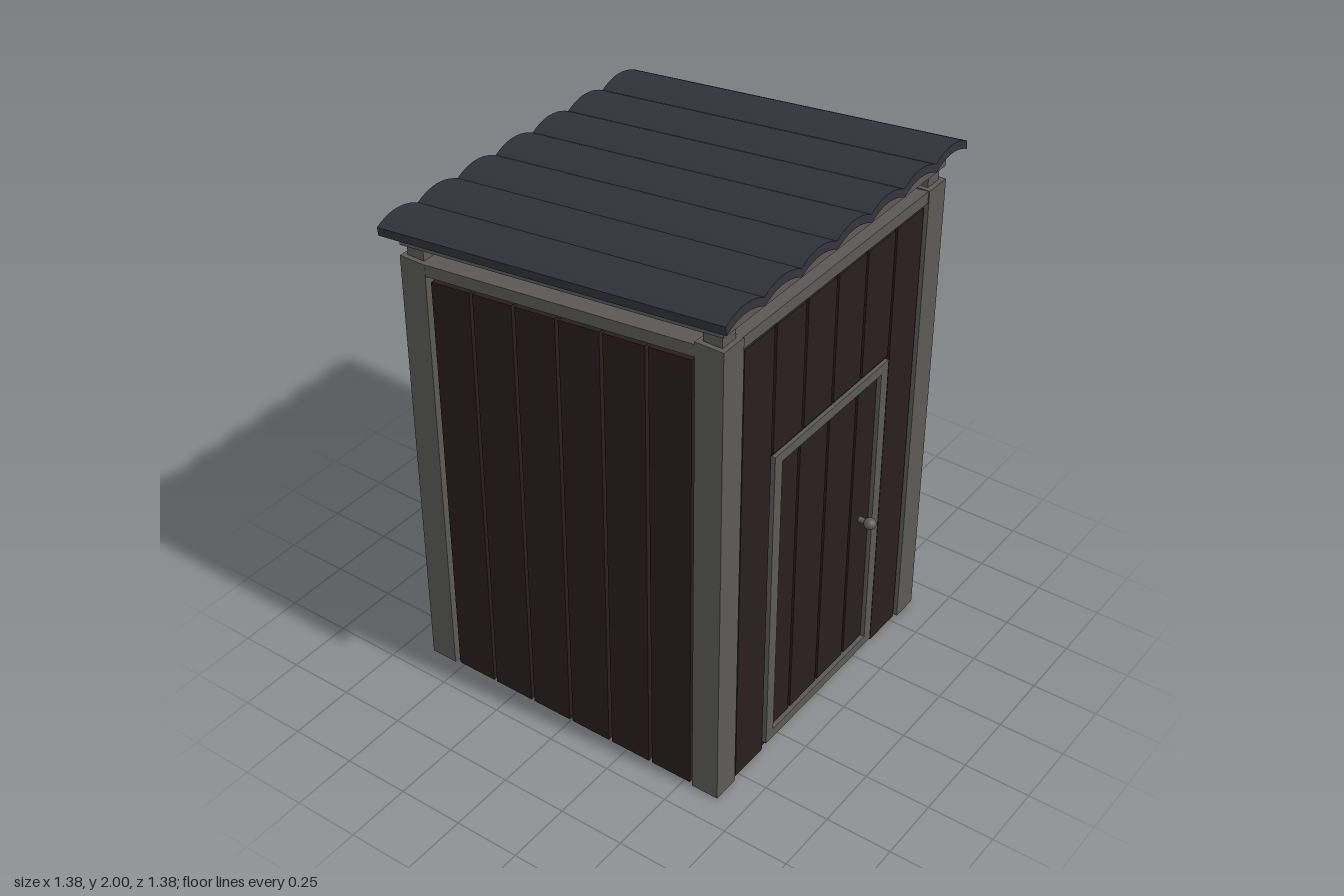
import * as THREE from 'three';

const SLOPE = 0.106; // roof pitch: rise in y per unit of z
const WALL = 0.59;   // distance of the wall centre lines from the axis

const timber = new THREE.MeshStandardMaterial({ color: 0x5b5a57, side: THREE.DoubleSide });
timber.name = 'grey timber';
const plankMat = new THREE.MeshStandardMaterial({ color: 0x291e1e });
plankMat.name = 'dark brown planks';
const roofMat = new THREE.MeshStandardMaterial({ color: 0x323339 });
roofMat.name = 'slate roof';

function add(parent, name, geometry, material) {
  const mesh = new THREE.Mesh(geometry, material);
  mesh.name = name;
  parent.add(mesh);
  return mesh;
}

// Box between two heights
function post(parent, name, mat, w, d, x, z, y0, y1) {
  const g = new THREE.BoxGeometry(w, y1 - y0, d);
  g.translate(x, (y0 + y1) / 2, z);
  return add(parent, name, g, mat);
}

// Box whose vertices above y = minY follow the roof pitch
function pitched(parent, name, mat, w, h, d, x, y, z, minY = 0) {
  const g = new THREE.BoxGeometry(w, h, d);
  g.translate(x, y, z);
  const p = g.attributes.position;
  for (let i = 0; i < p.count; i++) {
    if (p.getY(i) > minY) p.setY(i, p.getY(i) + SLOPE * p.getZ(i));
  }
  g.computeVertexNormals();
  return add(parent, name, g, mat);
}

// Four pitched beams forming a ring at the wall lines
function ring(parent, name, y, h, width, length) {
  for (const s of [-1, 1]) {
    pitched(parent, name, timber, length, h, width, 0, y, s * WALL);
    pitched(parent, name, timber, width, h, length, s * WALL, y, 0);
  }
}

// One corrugation: a shallow arched strip running front to back
function corrugation(width, length) {
  const rise = 0.025, thick = 0.03, n = 10;
  const shape = new THREE.Shape();
  const arch = (t) => rise * (1 - (2 * t - 1) ** 2);
  shape.moveTo(-width / 2, 0);
  for (let i = 1; i <= n; i++) shape.lineTo((i / n - 0.5) * width, arch(i / n));
  for (let i = n; i >= 0; i--) shape.lineTo((i / n - 0.5) * width, arch(i / n) + thick);
  const g = new THREE.ExtrudeGeometry(shape, { depth: length, bevelEnabled: false });
  g.translate(0, 0, -length / 2);
  return g;
}

export function createModel() {
  const shed = new THREE.Group();
  shed.name = 'shed';

  // Hollow corner posts, open underneath, with small spacer blocks on top
  for (const x of [-WALL, WALL]) {
    for (const s of [-1, 1]) {
      const top = s > 0 ? 1.84 : 1.715;
      const hollow = post(shed, 'cornerPost', timber, 0.106, 0.106, x + 0.002, s * WALL, 0, top).geometry;
      const faces = Array.from(hollow.index.array);
      faces.splice(18, 6); // drop the bottom face
      hollow.setIndex(faces);
      hollow.clearGroups();
      post(shed, 'spacerBlock', timber, 0.07, 0.07, x + 0.002, s * WALL, top, top + 0.055);
    }
  }

  // Wall top rails and the roof-bearing frame
  ring(shed, 'wallRail', 1.75, 0.045, 0.1, 1.075);
  ring(shed, 'roofBeam', 1.848, 0.05, 0.1, 1.28);

  // Six thick, spaced planks on every wall
  const walls = new THREE.Group();
  walls.name = 'walls';
  shed.add(walls);
  const h = 1.708, w = 0.163, t = 0.085, shift = 0.006;
  const plankAt = (i) => (i - 2.5) * 0.176;
  for (let i = 0; i < 6; i++) {
    const c = plankAt(i);
    for (const s of [-1, 1]) {
      pitched(walls, 'sidePlank', plankMat, t, h, w, s * WALL, h / 2, c, 0.01);
    }
    post(walls, 'backPlank', plankMat, w, t, c + shift, -WALL, 0, 1.65);
    const outer = i === 0 || i === 5;
    post(walls, outer ? 'frontPlank' : 'plankAboveDoor', plankMat, w, t, c + shift, WALL, outer ? 0 : 1.286, 1.778);
  }

  // Door: planks, lintel strip, raised frame and knob
  const door = new THREE.Group();
  door.name = 'door';
  door.position.x = shift;
  shed.add(door);
  for (let i = 1; i < 5; i++) {
    post(door, 'doorPlank', plankMat, w, 0.045, plankAt(i), 0.6, 0, 1.275);
  }
  post(door, 'lintelStrip', plankMat, 0.688, 0.07, 0, WALL, 1.273, 1.286);
  const frameZ = 0.602, frameD = 0.075;
  for (const s of [-1, 1]) {
    post(door, 'doorStile', timber, 0.043, frameD, s * 0.3225, frameZ, 0.02, 1.273);
  }
  post(door, 'doorBottomRail', timber, 0.602, frameD, 0, frameZ, 0.02, 0.058);
  post(door, 'doorTopRail', timber, 0.602, frameD, 0, frameZ, 1.235, 1.273);
  const knob = new THREE.Group();
  knob.name = 'doorKnob';
  knob.position.set(0.241, 0.643, 0.667);
  door.add(knob);
  const ball = add(knob, 'knobBall', new THREE.SphereGeometry(0.024, 16, 12), timber);
  ball.scale.y = 0.88;
  const stem = add(knob, 'knobStem', new THREE.CylinderGeometry(0.01, 0.012, 0.05, 12), timber);
  stem.rotation.x = Math.PI / 2;
  stem.position.z = -0.03;

  // Corrugated roof, tilted down towards the back
  const roof = new THREE.Group();
  roof.name = 'roof';
  roof.position.set(0, 1.873, 0.003);
  roof.rotation.x = -Math.atan(SLOPE);
  shed.add(roof);
  const stripWidth = 1.385 / 7;
  const strip = corrugation(stripWidth, 1.375);
  for (let i = 0; i < 7; i++) {
    add(roof, 'roofCorrugation', strip, roofMat).position.x = (i - 3) * stripWidth;
  }

  return shed;
}
